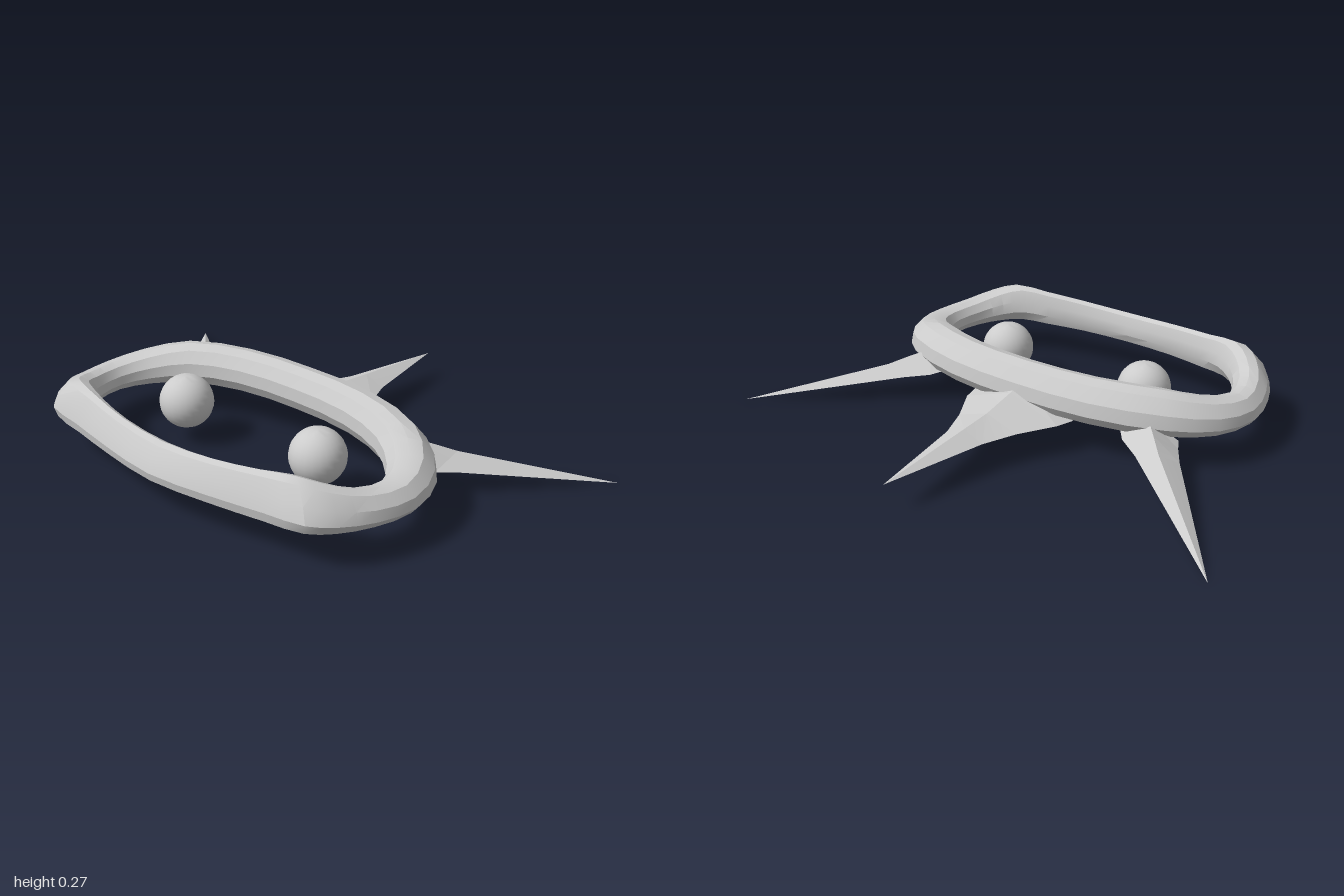
import * as THREE from 'three';
import { toCreasedNormals } from 'three/addons/utils/BufferGeometryUtils.js';

const material = new THREE.MeshStandardMaterial({ color: 0xcccccc });

// Skin a list of equal-length cross-sections (arrays of Vector3).
function loft(sections, closed, crease) {
  const pos = [];
  const tri = (...pts) => pts.forEach((p) => pos.push(p.x, p.y, p.z));
  const n = sections[0].length;
  const last = closed ? sections.length : sections.length - 1;
  for (let i = 0; i < last; i++) {
    const A = sections[i], B = sections[(i + 1) % sections.length];
    for (let j = 0; j < n; j++) {
      const k = (j + 1) % n;
      tri(A[j], B[j], B[k]);
      tri(A[j], B[k], A[k]);
    }
  }
  const geo = new THREE.BufferGeometry();
  geo.setAttribute('position', new THREE.Float32BufferAttribute(pos, 3));
  return toCreasedNormals(geo, crease);
}

function add(group, name, geometry) {
  const mesh = new THREE.Mesh(geometry, material);
  mesh.name = name;
  group.add(mesh);
  return mesh;
}

// Half ring, back to front: inner x, z, outer x, z, bottom y, top y, outward lean
const STATIONS = [
  [0, 0.06, 0, -0.09, 0.115, 0.27, 0],
  [0.25, 0.08, 0.3, -0.07, 0.115, 0.27, 0],
  [0.44, 0.145, 0.56, 0.02, 0.11, 0.262, 0],
  [0.55, 0.23, 0.69, 0.15, 0.105, 0.23, 0],
  [0.6, 0.33, 0.735, 0.31, 0.105, 0.21, 0],
  [0.575, 0.44, 0.71, 0.46, 0.11, 0.22, 0.2],
  [0.52, 0.51, 0.66, 0.58, 0.115, 0.25, 0.5],
  [0.45, 0.555, 0.6, 0.655, 0.12, 0.272, 0.8],
  [0.35, 0.59, 0.45, 0.675, 0.115, 0.262, 1],
  [0.2, 0.62, 0.24, 0.71, 0.115, 0.25, 1],
  [0, 0.63, 0, 0.738, 0.115, 0.242, 1],
];

// Ring cross-section: fraction from inner to outer edge, fraction of height
const PROFILE = [
  [0, 0.35], [0.02, 0.65], [0.18, 0.92], [0.45, 1], [0.72, 0.93],
  [0.95, 0.62], [1, 0.3], [0.86, 0.08], [0.5, 0], [0.14, 0.1],
];

function ringGeometry() {
  const mirrored = STATIONS.slice(1, -1).reverse()
    .map(([ix, iz, ox, oz, ...rest]) => [-ix, iz, -ox, oz, ...rest]);
  const stations = [...STATIONS, ...mirrored];
  const rails = PROFILE.map(([w, h]) => new THREE.CatmullRomCurve3(
    stations.map(([ix, iz, ox, oz, y0, y1, lean]) => {
      const f = w * (1 - 0.35 * lean * h);
      return new THREE.Vector3(
        ix + (ox - ix) * f, y0 + (y1 - y0) * h, iz + (oz - iz) * f);
    }), true));
  const count = stations.length * 2;
  const sections = Array.from({ length: count },
    (_, i) => rails.map((rail) => rail.getPoint(i / count)));
  return loft(sections, true, 0.45);
}

// Spike sections are triangles: one edge, the top ridge, the other edge.
function spikeGeometry(triangles, mirror = false) {
  const sections = triangles.map((t) => {
    const pts = t.map(([x, y, z]) => new THREE.Vector3(mirror ? -x : x, y, z));
    return mirror ? pts.reverse() : pts;
  });
  return loft(sections, false, 0.1);
}

const backTip = [0, 0.1, -0.74];
const BACK_SPIKE = [
  [[0.22, 0.11, -0.03], [0, 0.2, -0.03], [-0.22, 0.11, -0.03]],
  [[0.2, 0.11, -0.1], [0, 0.18, -0.1], [-0.2, 0.11, -0.1]],
  [[0.125, 0.108, -0.23], [0, 0.15, -0.23], [-0.125, 0.108, -0.23]],
  [[0.077, 0.105, -0.35], [0, 0.138, -0.35], [-0.077, 0.105, -0.35]],
  [backTip, backTip, backTip],
];

const sideTip = [1, 0, -0.46];
const SIDE_SPIKE = [
  [[0.58, 0.105, 0.07], [0.48, 0.18, 0.03], [0.4, 0.12, -0.01]],
  [[0.6, 0.095, 0.035], [0.54, 0.155, -0.03], [0.43, 0.11, -0.045]],
  [[0.645, 0.085, -0.03], [0.6, 0.125, -0.09], [0.515, 0.095, -0.095]],
  [sideTip, sideTip, sideTip],
];

// Ball with a small flat cut across its underside
function ballGeometry() {
  const r = 0.097, cut = -0.08, pts = [new THREE.Vector2(0, cut)];
  const start = Math.asin(cut / r), steps = 14;
  for (let i = 0; i <= steps; i++) {
    const a = start + (Math.PI / 2 - start) * (i / steps);
    pts.push(new THREE.Vector2(i === steps ? 0 : r * Math.cos(a), r * Math.sin(a)));
  }
  return toCreasedNormals(new THREE.LatheGeometry(pts, 24), 0.5);
}

export function createModel() {
  const group = new THREE.Group();
  group.name = 'spikedRing';
  add(group, 'ring', ringGeometry());
  add(group, 'backSpike', spikeGeometry(BACK_SPIKE));
  for (const [side, sign] of [['left', 1], ['right', -1]]) {
    add(group, side + 'Spike', spikeGeometry(SIDE_SPIKE, sign < 0));
    add(group, side + 'Ball', ballGeometry()).position.set(0.31 * sign, 0.15, 0.277);
  }
  return group;
}
